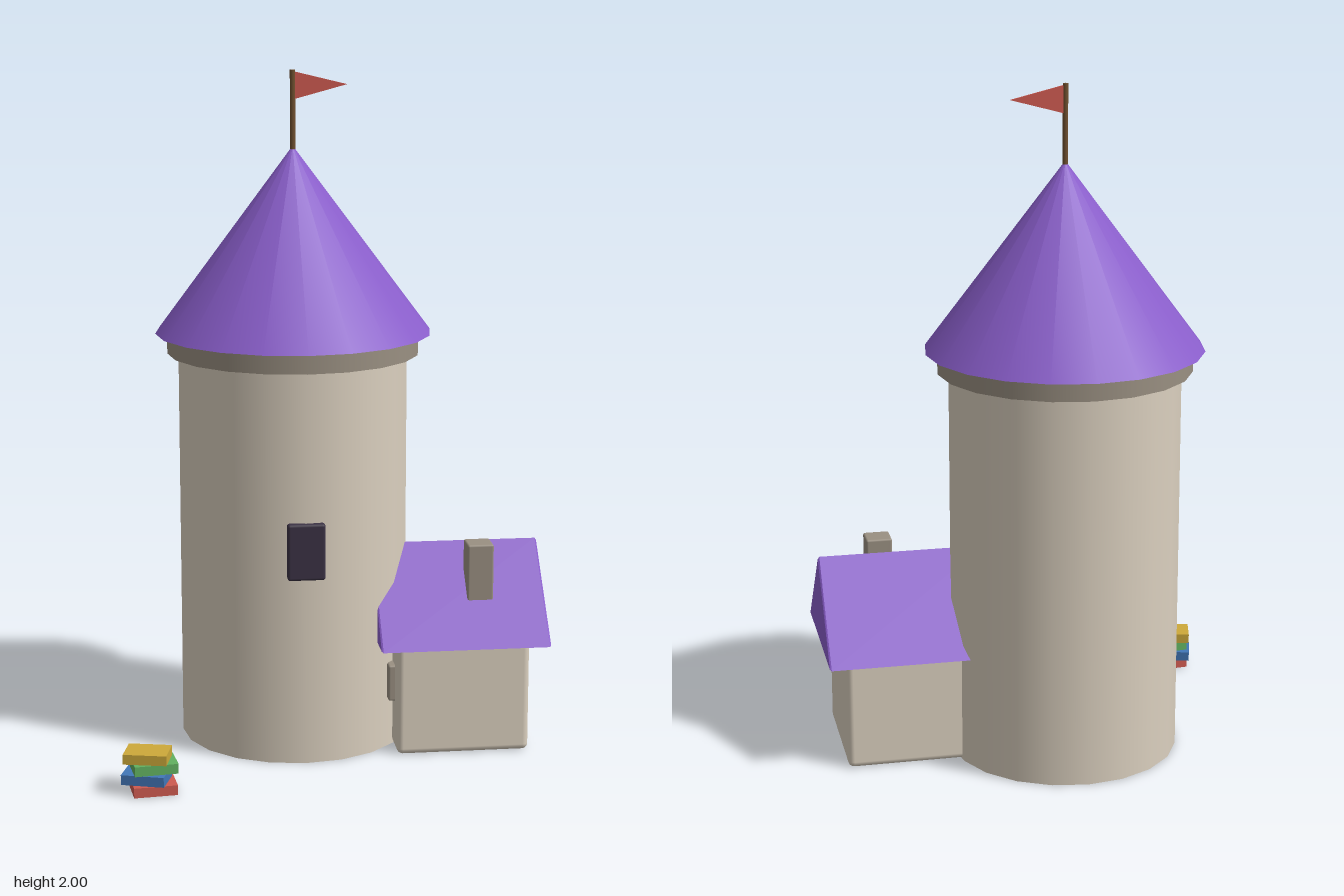
import * as THREE from 'three';
import { RoundedBoxGeometry } from 'three/addons/geometries/RoundedBoxGeometry.js';

const colours = {
  wall: 0xdbd0bf, stone: 0x9a9082, roofPurple: 0x8a5ecb, windowDark: 0x3b3244, poleBrown: 0x70502f,
  red: 0xcd5a50, blue: 0x4277b8, green: 0x62b060, yellow: 0xcda93a,
};

export function createModel() {
  const root = new THREE.Group();
  root.name = 'towerWithCottage';

  const mats = {};
  for (const [name, color] of Object.entries(colours)) {
    mats[name] = new THREE.MeshStandardMaterial({ color });
    mats[name].name = name;
  }

  const add = (parent, name, geometry, mat, x = 0, y = 0, z = 0, turn = 0) => {
    const mesh = new THREE.Mesh(geometry, mats[mat]);
    mesh.name = name;
    mesh.position.set(x, y, z);
    mesh.rotation.y = turn;
    parent.add(mesh);
    return mesh;
  };
  const group = (name, x, z) => {
    const g = new THREE.Group();
    g.name = name;
    g.position.set(x, 0, z);
    root.add(g);
    return g;
  };

  // Round tower with a stone collar and a conical roof
  const tower = group('tower', -0.09, -0.08);
  add(tower, 'towerWall', new THREE.CylinderGeometry(0.342, 0.342, 1.2, 20), 'wall', 0, 0.6);
  add(tower, 'collar', new THREE.CylinderGeometry(0.375, 0.375, 0.06, 20), 'stone', 0, 1.2);
  add(tower, 'towerRoof', new THREE.ConeGeometry(0.41, 0.55, 20), 'roofPurple', 0, 1.505);
  add(tower, 'towerWindow', new RoundedBoxGeometry(0.11, 0.168, 0.03, 2, 0.008), 'windowDark', 0, 0.643, 0.34);

  // Pole and pennant
  add(tower, 'flagPole', new THREE.CylinderGeometry(0.008, 0.008, 0.24, 8), 'poleBrown', 0, 1.88);
  const pennant = new THREE.Shape();
  pennant.moveTo(0.004, 1.995);
  pennant.lineTo(0.004, 1.915);
  pennant.lineTo(0.16, 1.957);
  pennant.closePath();
  add(tower, 'flag', new THREE.ExtrudeGeometry(pennant, { depth: 0.006, bevelEnabled: false }), 'red', 0, 0, -0.003);

  // Cottage leaning against the tower
  const cottage = group('cottage', 0.382, 0.03);
  add(cottage, 'cottageWall', new RoundedBoxGeometry(0.395, 0.335, 0.4, 3, 0.018), 'wall', 0, 0.1675);
  add(cottage, 'sideShutter', new RoundedBoxGeometry(0.03, 0.11, 0.09, 2, 0.006), 'stone', -0.202, 0.205, 0.1);

  // Gable roof: a triangle drawn in z and y, extruded along x
  const gable = new THREE.Shape();
  gable.moveTo(-0.24, 0.336);
  gable.lineTo(0.24, 0.336);
  gable.lineTo(0, 0.593);
  gable.closePath();
  const roof = new THREE.ExtrudeGeometry(gable, {
    depth: 0.494, bevelEnabled: true, bevelThickness: 0.005, bevelSize: 0.005, bevelSegments: 1,
  });
  roof.translate(0, 0, -0.247).rotateY(Math.PI / 2);
  add(cottage, 'cottageRoof', roof, 'roofPurple');
  add(cottage, 'chimney', new RoundedBoxGeometry(0.078, 0.2, 0.078, 2, 0.006), 'stone', 0.058, 0.52, 0.098);

  // Untidy pile of books: colour, x, z, turn
  const books = group('books', -0.557, 0.428);
  [
    ['red', 0.01, 0.003, 0.1],
    ['blue', -0.01, 0, -0.3],
    ['green', 0.012, -0.001, 0.12],
    ['yellow', -0.006, -0.001, -0.23],
  ].forEach(([mat, x, z, turn], i) => {
    add(books, mat + 'Book', new THREE.BoxGeometry(0.125, 0.029, 0.094), mat, x, 0.015 + i * 0.031, z, turn);
  });

  return root;
}
